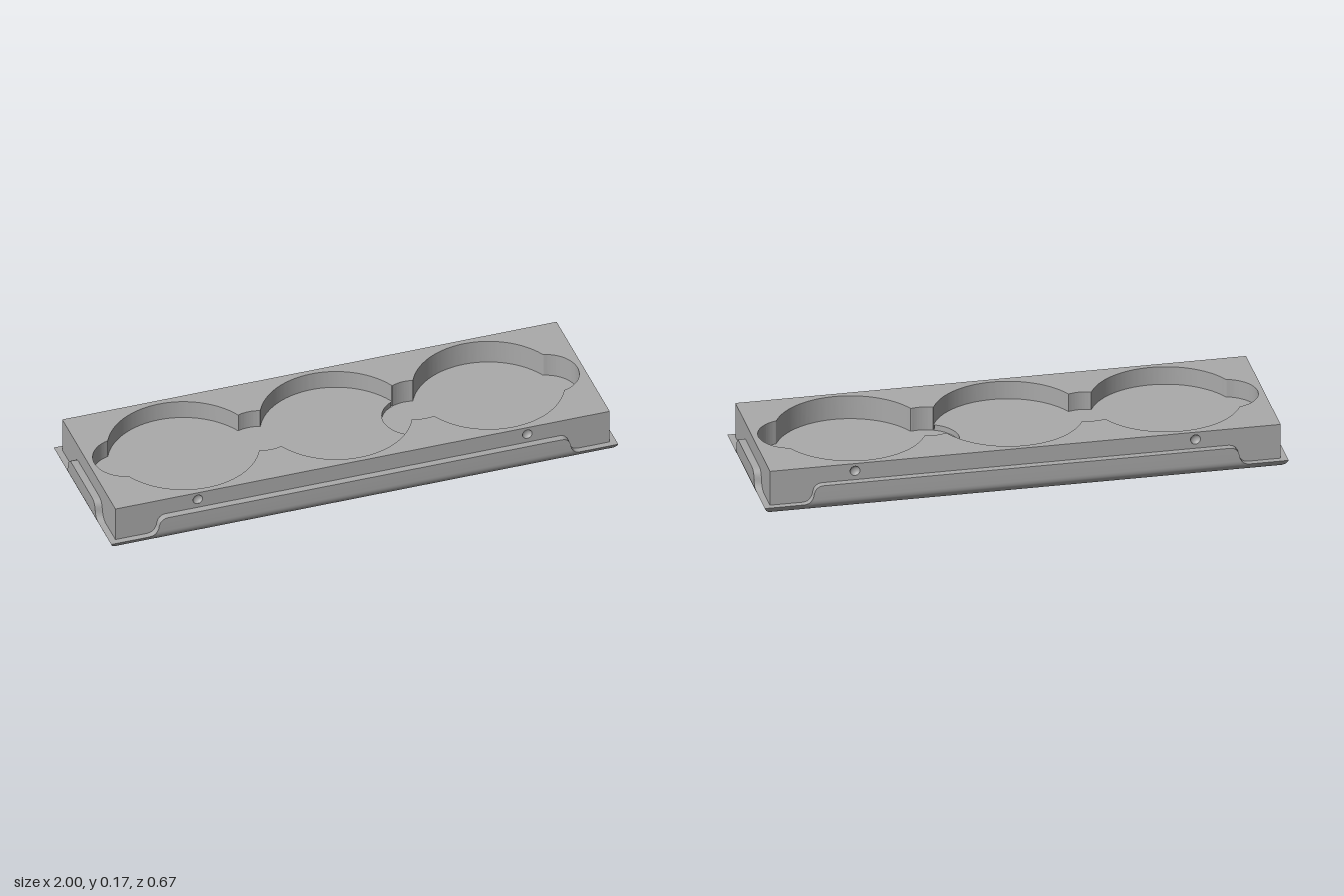
import * as THREE from 'three';
import { toCreasedNormals } from 'three/addons/utils/BufferGeometryUtils.js';

const HX = 0.972, HZ = 0.305;            // half size of the inner block
const TOP = 0.172, BASE = 0.02;          // block heights
const FLOOR = 0.1, DEEP = 0.078;         // pocket floor heights
const LIP = 0.028, ROUND = 0.05;         // tray wall thickness, bottom edge radius

const grey = new THREE.MeshStandardMaterial({ color: 0xaaaaaa, side: THREE.DoubleSide });
grey.name = 'grey plastic';

function mesh(name, geometry, parent) {
  const m = new THREE.Mesh(geometry, grey);
  m.name = name;
  parent.add(m);
  return m;
}

// Circles [centre x, radius] of the round pockets and finger notches
const R = 0.283, r = 0.125;
const notch = [0.312, r];
const shallow = [[-0.825, r], [-0.6, R], [-0.3, r + 0.003], [0, R]];
const deep = [notch, [0.6, R], [0.825, r]];
const inside = ([c, rad], x, z) => Math.hypot(x - c, z) < rad - 1e-6;

// Upper outline of a union of circles, from left to right
function upperOutline(circles) {
  const pts = [];
  for (const circle of circles) {
    for (let i = 0; i <= 120; i++) {
      const a = Math.PI * i / 120;
      const x = circle[0] + circle[1] * Math.cos(a), z = circle[1] * Math.sin(a);
      if (!circles.some(o => o !== circle && inside(o, x, z))) pts.push(new THREE.Vector2(x, z));
    }
  }
  return pts.sort((a, b) => a.x - b.x);
}
const mirrored = pts => pts.map(p => new THREE.Vector2(p.x, -p.y)).reverse();
const closed = pts => [...pts, ...mirrored(pts).filter(p => p.y < -1e-6)];

// Flat horizontal face at height y
function flat(shape, y) {
  return new THREE.ShapeGeometry(shape).rotateX(-Math.PI / 2).translate(0, y, 0);
}

// Surface through rows of points
function skin(rows, crease = 0.6) {
  const pos = [], index = [], n = rows[0].length;
  rows.forEach(row => row.forEach(p => pos.push(...p)));
  for (let i = 0; i < rows.length - 1; i++) {
    for (let j = 0; j < n - 1; j++) {
      const a = i * n + j, b = a + n;
      index.push(a, b, a + 1, b, b + 1, a + 1);
    }
  }
  const g = new THREE.BufferGeometry();
  g.setAttribute('position', new THREE.Float32BufferAttribute(pos, 3));
  g.setIndex(index);
  return toCreasedNormals(g, crease);
}

// Upright wall along an outline
const wall = (pts, y0, y1) => skin([y1, y0].map(y => pts.map(p => [p.x, y, p.y])));

function rectangle(w, y0, y1) {
  const s = new THREE.Shape();
  s.moveTo(-w, y0).lineTo(w, y0).lineTo(w, y1).lineTo(-w, y1).closePath();
  return s;
}

// Lip height along one tray side: full height in the middle, S-curve down to the corners
const FALL = [[0, 0.106], [0.012, 0.104], [0.022, 0.098], [0.03, 0.088], [0.034, 0.075],
  [0.037, 0.06], [0.045, 0.046], [0.055, 0.037], [0.07, 0.033]];

function traySide(d0, halfLength, start) {
  const right = FALL.map(([t, h]) => [start + t, h]);
  right.push([halfLength, 0.033]);
  const stations = [...right.map(([u, h]) => [-u, h]).reverse(), ...right];
  const rows = stations.map(([u, h]) => {
    const low = Math.min(h, ROUND);
    const section = [[0, BASE], [0, h]];
    const a0 = Math.acos((ROUND - low) / ROUND);
    const at = a => [LIP - ROUND + ROUND * Math.sin(a), ROUND - ROUND * Math.cos(a)];
    section.push([at(a0)[0], h]);
    for (let i = 0; i <= 10; i++) section.push(at(a0 * (1 - i / 10)));
    // The last sections are mitred at the corners
    const mitre = Math.abs(u) === halfLength ? Math.sign(u) : 0;
    return section.map(([o, y]) => [u + mitre * o, y, d0 + o]);
  });
  return skin(rows);
}

export function createModel() {
  const model = new THREE.Group();
  model.name = 'pocketTray';

  // Block top with the joined pocket opening
  const block = new THREE.Group();
  block.name = 'block';
  model.add(block);
  const opening = closed(upperOutline([...shallow, ...deep]));
  const topShape = rectangle(HX, -HZ, HZ);
  topShape.holes.push(new THREE.Path(opening));
  mesh('blockTop', flat(topShape, TOP), block);
  mesh('pocketWall', wall([...opening, opening[0]], DEEP, TOP), block);

  // Left and middle pocket floor, cut by the deeper notch
  const edge = upperOutline(shallow).filter(p => !inside(notch, p.x, p.y));
  const leftEdge = edge.filter(p => p.x < notch[0]);
  const rim = [];
  for (let i = 0; i <= 60; i++) {
    const a = Math.PI * (0.5 + i / 60);
    const x = notch[0] + r * Math.cos(a), z = r * Math.sin(a);
    if (inside(shallow[3], x, z)) rim.push(new THREE.Vector2(x, z));
  }
  const floorPts = [...leftEdge.filter(p => p.x < 0.26), ...rim,
    ...mirrored(leftEdge.filter(p => p.x < 0.26)).filter(p => p.y < -1e-6)];
  mesh('pocketFloor', flat(new THREE.Shape(floorPts), FLOOR), block);
  mesh('notchStep', wall(rim, DEEP, FLOOR), block);

  // Right pocket floor, slightly deeper
  mesh('deepPocketFloor', flat(new THREE.Shape(closed(upperOutline(deep))), DEEP), block);

  // Long block walls with two round dimples each, and plain end walls
  for (const s of [1, -1]) {
    const side = new THREE.Group();
    side.name = s > 0 ? 'frontWall' : 'backWall';
    side.rotation.y = s > 0 ? 0 : Math.PI;
    block.add(side);
    const shape = rectangle(HX, BASE, TOP);
    for (const x of [-0.648, 0.648]) {
      const hole = new THREE.Path();
      hole.absarc(x, 0.142, 0.019, 0, Math.PI * 2, true);
      shape.holes.push(hole);
      const dimple = new THREE.SphereGeometry(0.019, 24, 8, 0, Math.PI * 2, 0, Math.PI / 2);
      dimple.rotateX(-Math.PI / 2).scale(1, 1, 0.7);
      mesh('dimple', dimple, side).position.set(x, 0.142, HZ);
    }
    mesh('longWall', new THREE.ShapeGeometry(shape, 24).translate(0, 0, HZ), side);
    const end = mesh('endWall', new THREE.ShapeGeometry(rectangle(HZ, BASE, TOP)).translate(0, 0, HX), block);
    end.rotation.y = s * Math.PI / 2;
  }

  // Tray: flat base and four lipped, rounded sides
  const tray = new THREE.Group();
  tray.name = 'tray';
  model.add(tray);
  const inset = ROUND - LIP;
  const base = new THREE.PlaneGeometry(2 * (HX - inset), 2 * (HZ - inset)).rotateX(Math.PI / 2);
  mesh('trayBase', base, tray);
  for (let i = 0; i < 4; i++) {
    const long = i % 2 === 0;
    const lip = mesh(long ? 'longLip' : 'endLip',
      long ? traySide(HZ, HX, 0.775) : traySide(HX, HZ, 0.12), tray);
    lip.rotation.y = i * Math.PI / 2;
  }
  return model;
}
